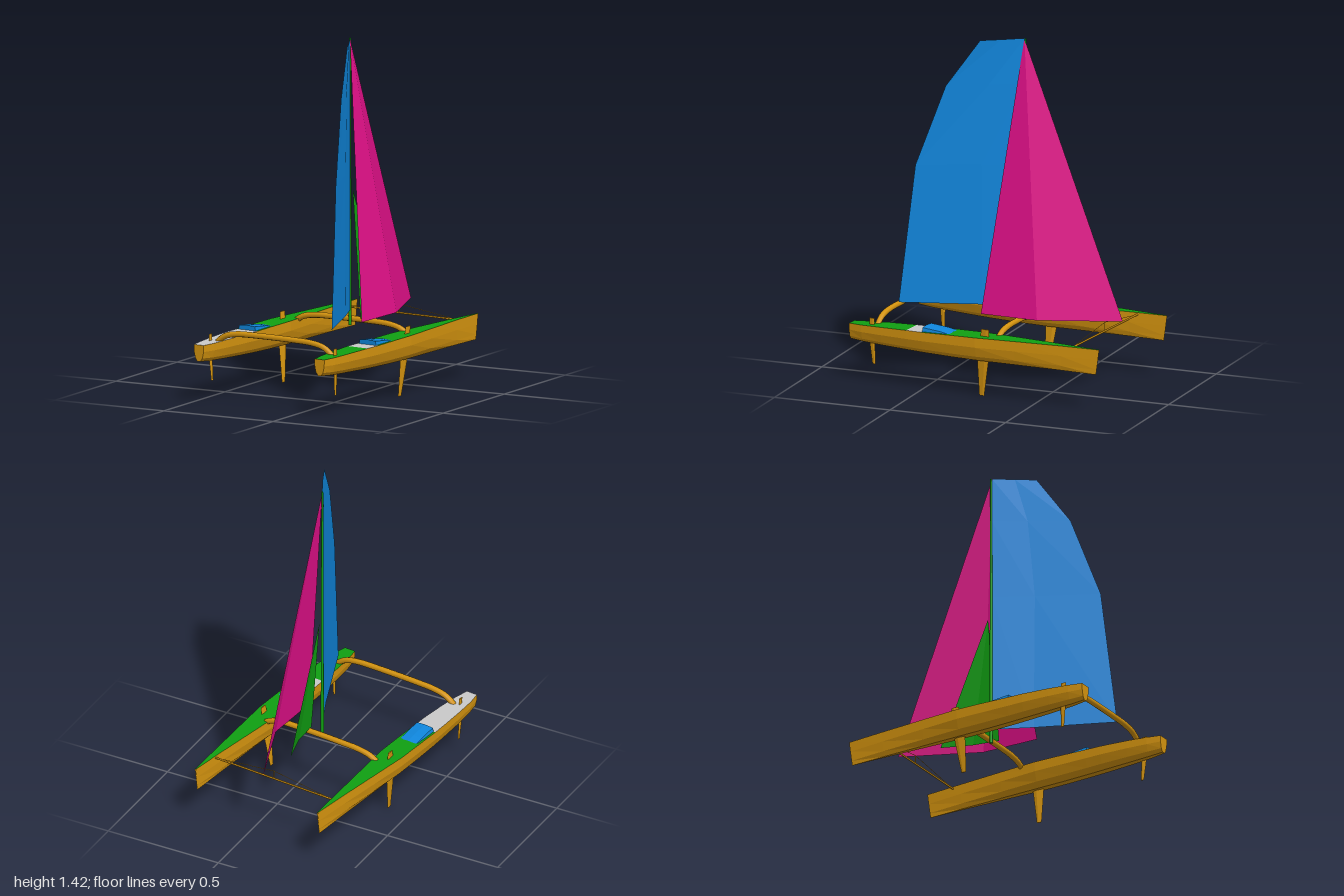
import * as THREE from 'three';

const mat = (name, color) => {
  const m = new THREE.MeshStandardMaterial({ color, side: THREE.DoubleSide });
  m.name = name;
  return m;
};
const V = (x, y, z) => new THREE.Vector3(x, y, z);

// Faceted surface through rows of points
function sheet(rows) {
  const p = [];
  for (let i = 0; i < rows.length - 1; i++) {
    for (let j = 0; j < rows[i].length - 1; j++) {
      const a = rows[i][j], b = rows[i][j + 1], c = rows[i + 1][j + 1], d = rows[i + 1][j];
      for (const v of [a, b, c, a, c, d]) p.push(v.x, v.y, v.z);
    }
  }
  const g = new THREE.BufferGeometry();
  g.setAttribute('position', new THREE.Float32BufferAttribute(p, 3));
  g.computeVertexNormals();
  return g;
}

function add(parent, name, geometry, material) {
  const m = new THREE.Mesh(geometry, material);
  m.name = name;
  parent.add(m);
  return m;
}

// Hull stations: z, half width, deck height, keel height
const stations = [
  [-0.467, 0.002, 0.275, 0.17], [-0.3, 0.016, 0.274, 0.17], [-0.1, 0.034, 0.271, 0.168],
  [0.07, 0.049, 0.268, 0.166], [0.19, 0.05, 0.265, 0.166], [0.31, 0.05, 0.261, 0.168],
  [0.38, 0.049, 0.26, 0.17], [0.5, 0.043, 0.256, 0.174], [0.59, 0.035, 0.252, 0.178],
  [0.65, 0.024, 0.25, 0.183],
];

function hullSection([z, w, top, keel], i) {
  const h = top - keel, rake = i === 0 ? 0.014 : 0;
  const half = [[1, 1], [0.97, 0.6], [0.72, 0.2], [0.3, 0]];
  const side = s => half.map(([a, b]) => V(s * a * w, keel + b * h, z + rake * (1 - b)));
  return [...side(-1), ...side(1).reverse()];
}

// Tapered foil: levels of [y, x, z, chord, thickness]
function foil(levels) {
  const rows = levels.map(([y, x, z, c, t]) => [
    V(x, y, z - c / 2), V(x + t / 2, y, z - c * 0.15), V(x, y, z + c / 2),
    V(x - t / 2, y, z - c * 0.15), V(x, y, z - c / 2),
  ]);
  const tip = ([y, x, z]) => Array.from({ length: 5 }, () => V(x, y, z));
  return sheet([tip(levels[0]), ...rows, tip(levels[levels.length - 1])]);
}

function rod(a, b, r) {
  return new THREE.TubeGeometry(new THREE.LineCurve3(a, b), 1, r, 6);
}

export function createModel() {
  const gold = mat('gold hull', 0xd6950f);
  const green = mat('green deck', 0x10a012);
  const blue = mat('blue', 0x0f86dc);
  const pink = mat('pink', 0xe01088);
  const grey = mat('pale grey', 0xcacaca);

  const root = new THREE.Group();
  root.name = 'catamaran';
  const boat = new THREE.Group();
  boat.name = 'platform';
  boat.position.set(-0.617, 0, 0.15);
  boat.rotation.y = -0.0925;
  root.add(boat);

  for (const s of [-1, 1]) {
    const hull = new THREE.Group();
    hull.name = s < 0 ? 'rightHull' : 'leftHull';
    hull.position.x = s * 0.293;
    boat.add(hull);

    // Shell and transom
    const rows = stations.map(hullSection);
    add(hull, 'shell', sheet(rows), gold);
    const stern = rows[rows.length - 1];
    add(hull, 'transom', sheet([stern.slice(0, 4), stern.slice(4).reverse()]), gold);

    // Deck panels
    const deck = (name, from, to, m) => add(hull, name,
      sheet(stations.slice(from, to + 1).map(([z, w, y]) => [V(-w, y, z), V(w, y, z)])), m);
    const wellEnd = s < 0 ? 9 : 6;
    deck('foredeck', 0, 5, green);
    deck('cockpitFloor', 5, wellEnd, grey);
    if (wellEnd < 9) deck('aftDeck', wellEnd, 9, green);

    // Raised wedge cover in front of the cockpit
    const cover = [[0.19, 0.267], [0.23, 0.274], [0.31, 0.281]].map(([z, y]) => [
      V(-0.042, 0.258, z), V(-0.038, y - 0.003, z), V(0, y, z), V(0.038, y - 0.003, z), V(0.042, 0.258, z),
    ]);
    add(hull, 'cockpitCover', sheet(cover), blue);
    const back = cover[2];
    add(hull, 'coverBack', sheet([back, back.map(v => V(v.x, 0.258, v.z))]), blue);

    // Daggerboard and rudder
    add(hull, 'daggerboard', foil([
      [0.298, s * 0.012, 0.041, 0.034, 0.006], [0.17, s * 0.002, 0.056, 0.052, 0.008],
      [0.015, s * -0.011, 0.068, 0.022, 0.004],
    ]), gold);
    add(hull, 'rudder', foil([
      [0.28, s * 0.01, 0.553, 0.024, 0.006], [0.18, s * 0.01, 0.551, 0.024, 0.006],
      [0.09, s * 0.006, 0.546, 0.014, 0.004],
    ]), gold);
  }

  // Arched crossbeams
  const arch = [[0.285, 0.238], [0.268, 0.258], [0.235, 0.278], [0.18, 0.289], [0.1, 0.292]];
  for (const [name, z] of [['frontBeam', 0], ['rearBeam', 0.54]]) {
    const pts = [
      ...arch.map(([x, y]) => V(-x, y, z)),
      ...arch.slice().reverse().map(([x, y]) => V(x, y, z)),
    ];
    add(boat, name, new THREE.TubeGeometry(new THREE.CatmullRomCurve3(pts), 36, 0.012, 8), gold);
  }

  // Bow bar with its peaked stay
  add(boat, 'bowBar', rod(V(-0.28, 0.266, -0.34), V(0.28, 0.266, -0.34), 0.004), gold);
  add(boat, 'bowPost', rod(V(0, 0.266, -0.34), V(0, 0.302, -0.34), 0.002), gold);
  for (const s of [-1, 1]) {
    add(boat, 'bowStay', rod(V(0, 0.302, -0.34), V(s * 0.28, 0.266, -0.34), 0.001), gold);
  }

  // Mast
  const mast = add(root, 'mast', new THREE.CylinderGeometry(0.004, 0.007, 1.165, 8), green);
  mast.position.set(-0.614, 0.8525, 0.166);

  // Mainsail: leech points [x, y, z] joined to the mast
  const leech = [[-0.535, 1.43, 0.33], [-0.49, 1.24, 0.46], [-0.45, 0.91, 0.575], [-0.432, 0.338, 0.64]];
  const luffY = [1.437, 1.25, 0.915, 0.33];
  add(root, 'mainsail', sheet(leech.map(([x, y, z], i) => {
    const t = 0.33 + 0.06 * (3 - i);
    return [
      V(-0.612, luffY[i], 0.168),
      V(-0.612 + (x + 0.612) * (t + 0.03), luffY[i] + (y - luffY[i]) * t, 0.168 + (z - 0.168) * t),
      V(x, y, z),
    ];
  })), blue);

  // Large folded headsail
  const head = V(-0.612, 1.436, 0.17);
  add(root, 'headsail', sheet([
    [head, head, head],
    [V(-0.578, 0.315, -0.27), V(-0.463, 0.315, 0.055), V(-0.482, 0.312, 0.305)],
  ]), pink);

  // Small inner jib
  const jibHead = V(-0.61, 0.82, 0.15);
  add(root, 'innerJib', sheet([
    [jibHead, jibHead, jibHead],
    [V(-0.597, 0.305, -0.07), V(-0.565, 0.303, 0.06), V(-0.56, 0.3, 0.175)],
  ]), green);

  return root;
}
